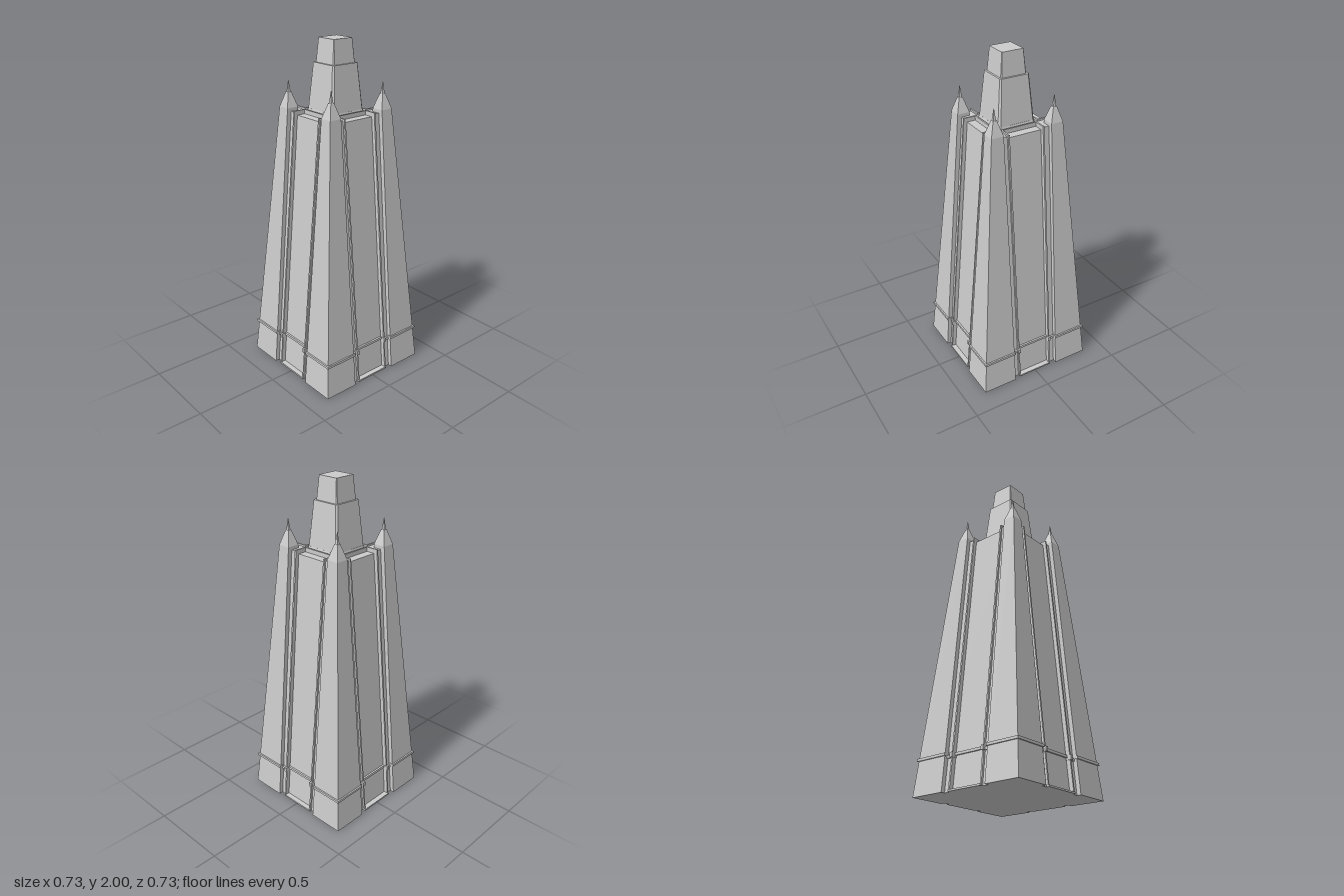
import * as THREE from 'three';

const material = new THREE.MeshStandardMaterial({ color: 0xcccccc, flatShading: true });

// Lofts a solid through level rings; each ring is { y, pts: [[x, z], ...] }
function loft(name, rings) {
  const pos = [];
  const n = rings[0].pts.length;
  const at = (r, i) => [r.pts[i % n][0], r.y, r.pts[i % n][1]];
  for (let k = 0; k < rings.length - 1; k++) {
    const a = rings[k], b = rings[k + 1];
    for (let i = 0; i < n; i++) {
      pos.push(...at(a, i), ...at(a, i + 1), ...at(b, i + 1));
      pos.push(...at(a, i), ...at(b, i + 1), ...at(b, i));
    }
  }
  const lo = rings[0], hi = rings[rings.length - 1];
  for (let i = 1; i < n - 1; i++) {
    pos.push(...at(lo, 0), ...at(lo, i + 1), ...at(lo, i));
    pos.push(...at(hi, 0), ...at(hi, i), ...at(hi, i + 1));
  }
  const geometry = new THREE.BufferGeometry();
  geometry.setAttribute('position', new THREE.Float32BufferAttribute(pos, 3));
  geometry.computeVertexNormals();
  const mesh = new THREE.Mesh(geometry, material);
  mesh.name = name;
  return mesh;
}

// Rectangular ring, ordered so that walls face outward
const rect = (y, x0, x1, z0, z1) => ({ y, pts: [[x0, z1], [x1, z1], [x1, z0], [x0, z0]] });
const square = (y, r, c = 0) => rect(y, c - r, c + r, c - r, c + r);

// Square ring with cut corners
function cutSquare(y, r, c) {
  const s = r - c;
  return { y, pts: [[-s, r], [s, r], [r, s], [r, -s], [s, -r], [-s, -r], [-r, -s], [-r, s]] };
}

const slab = (name, y0, y1, x0, x1, z0, z1) =>
  loft(name, [rect(y0, x0, x1, z0, z1), rect(y1, x0, x1, z0, z1)]);

// Corner tower with its pyramid roof, spike and string course
function cornerTower() {
  const g = new THREE.Group();
  g.name = 'cornerTower';
  g.add(loft('towerShaft', [
    rect(0, 0.15, 0.365, 0.15, 0.365),
    rect(1.61, 0.15, 0.225, 0.15, 0.225),
  ]));
  g.add(loft('towerRoof', [square(1.61, 0.0375, 0.1875), square(1.695, 0.011, 0.1875)]));
  g.add(loft('towerSpike', [
    square(1.69, 0.009, 0.1875), square(1.715, 0.006, 0.1875), square(1.76, 0.001, 0.1875),
  ]));
  g.add(slab('towerBand', 0.195, 0.21, 0.146, 0.356, 0.146, 0.356));
  return g;
}

// One facade: recessed bay between fins, with grooves beside the towers
function facade() {
  const g = new THREE.Group();
  g.name = 'facade';
  g.add(slab('baySill', 0, 0.01, -0.112, 0.112, 0.3, 0.357));
  g.add(slab('bayBand', 0.195, 0.21, -0.107, 0.107, 0.25, 0.32));
  for (const s of [-1, 1]) {
    const span = (y, a, b, z0, z1) => rect(y, Math.min(s * a, s * b), Math.max(s * a, s * b), z0, z1);
    g.add(loft('groove', [span(0, 0.105, 0.16, 0.105, 0.34), span(1.59, 0.105, 0.16, 0.105, 0.2)]));
    g.add(loft('fin', [span(0, 0.105, 0.115, 0.13, 0.352), span(1.6, 0.105, 0.115, 0.13, 0.21)]));
    g.add(loft('grooveBand', [span(0.183, 0.105, 0.155, 0.25, 0.333), span(0.2, 0.105, 0.155, 0.25, 0.333)]));
    g.add(loft('finBand', [span(0.183, 0.102, 0.119, 0.25, 0.345), span(0.21, 0.102, 0.119, 0.25, 0.345)]));
  }
  // Low kerb closing the back of the bay top
  g.add(slab('bayKerb', 1.57, 1.6, -0.115, 0.115, 0.13, 0.139));
  return g;
}

export function createModel() {
  const model = new THREE.Group();
  model.name = 'tower';

  // Tapered core and roof deck
  model.add(loft('core', [square(0, 0.327), square(1.575, 0.19)]));
  model.add(slab('roofDeck', 1.56, 1.59, -0.139, 0.139, -0.139, 0.139));

  // Four identical sides and corners
  for (let i = 0; i < 4; i++) {
    for (const part of [cornerTower(), facade()]) {
      part.rotation.y = i * Math.PI / 2;
      model.add(part);
    }
  }

  // Stepped crown
  model.add(loft('crownBase', [cutSquare(1.585, 0.12, 0.014), cutSquare(1.605, 0.114, 0.012)]));
  model.add(loft('crownLower', [cutSquare(1.6, 0.114, 0.012), cutSquare(1.865, 0.09, 0.008)]));
  model.add(loft('crownUpper', [cutSquare(1.86, 0.079, 0.006), cutSquare(2, 0.066, 0.002)]));
  return model;
}
